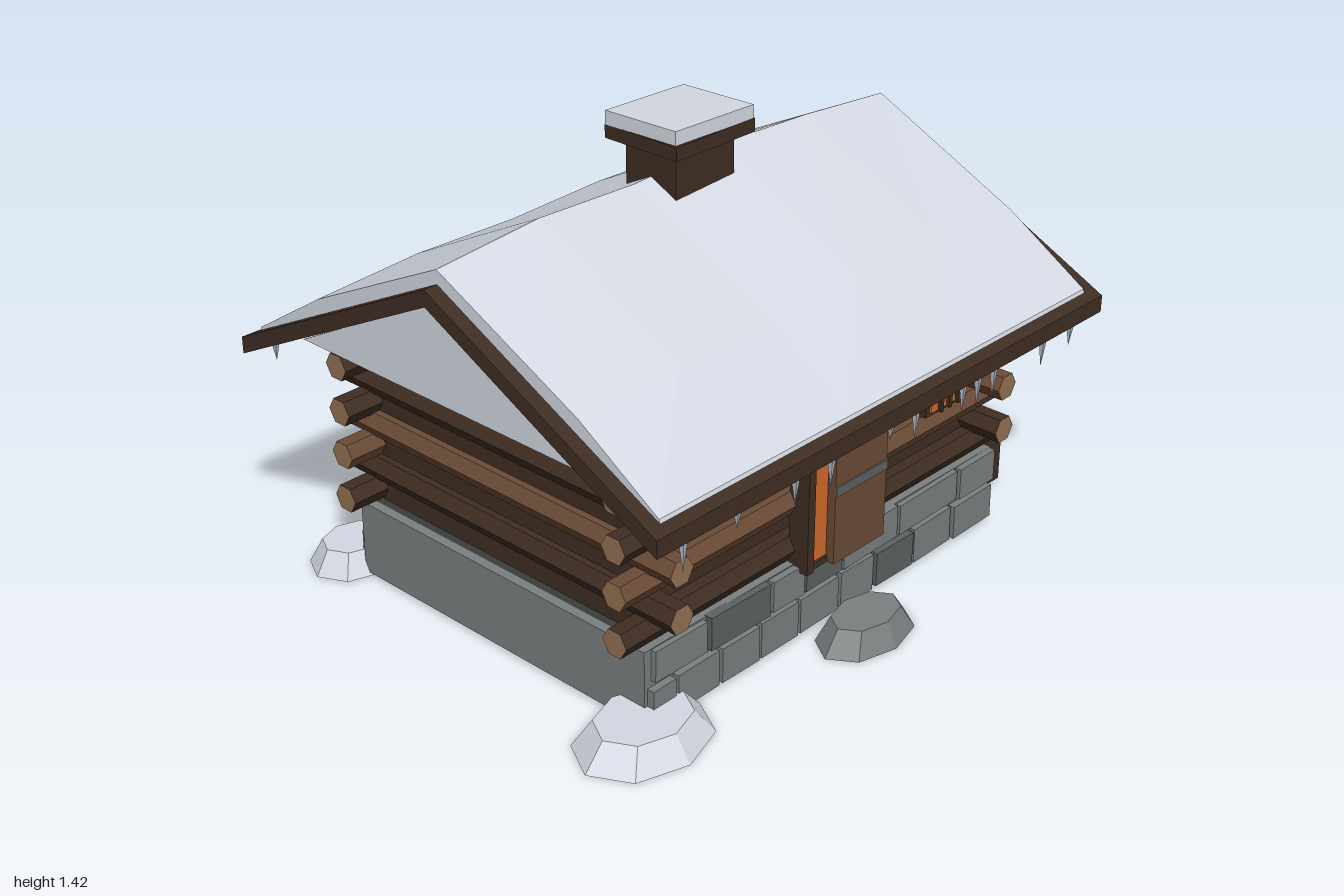
import * as THREE from 'three';

const mat = (name, color, side = THREE.FrontSide) =>
  Object.assign(new THREE.MeshStandardMaterial({ color, flatShading: true, side }), { name });

export function createModel() {
  const model = new THREE.Group();
  model.name = 'logCabin';
  const snow = mat('snow', 0xd3d8e2, THREE.DoubleSide);
  const bark = mat('darkWood', 0x3f2d22);
  const wood = mat('lightWood', 0x6b4b35);
  const logEnd = mat('logEnd', 0x936f52);
  const cutEnd = mat('firewoodEnd', 0xae8d64);
  const stone = mat('stone', 0x7b7f80);
  const darkStone = mat('darkStone', 0x5c6162);
  const floorDark = mat('floorCharcoal', 0x3a3e3b);
  const glow = mat('warmGlow', 0xd0692b);
  const ice = mat('ice', 0xaebac6);

  const add = (name, geo, material, parent = model) => {
    const mesh = new THREE.Mesh(geo, material);
    mesh.name = name;
    parent.add(mesh);
    return mesh;
  };
  // Box given by its minimum and maximum on each axis
  const box = (name, material, x0, x1, y0, y1, z0, z1, parent) => {
    const geo = new THREE.BoxGeometry(x1 - x0, y1 - y0, z1 - z0);
    geo.translate((x0 + x1) / 2, (y0 + y1) / 2, (z0 + z1) / 2);
    return add(name, geo, material, parent);
  };
  // Hexagonal log lying along x, or along z when turned
  const log = (name, r, length, mats, x, y, z, alongZ = false, parent = model) => {
    const geo = new THREE.CylinderGeometry(r, r, length, 6).rotateZ(Math.PI / 2);
    if (alongZ) geo.rotateY(Math.PI / 2);
    add(name, geo, mats, parent).position.set(x, y, z);
  };
  // Profile in (z, y), extruded from x0 to x1
  const profile = (pts, x0, x1, steps = 1) => {
    const shape = new THREE.Shape(pts.map(([z, y]) => new THREE.Vector2(-z, y)));
    const geo = new THREE.ExtrudeGeometry(shape, { depth: x1 - x0, steps, bevelEnabled: false });
    return geo.rotateY(Math.PI / 2).translate(x0, 0, -0.01);
  };
  let seed = 7;
  const rand = () => (seed = (seed * 16807) % 2147483647) / 2147483647;

  // Foundation: four thin walls, open below, under a dark floor
  for (const s of [-1, 1]) {
    box('foundationLongWall', stone, -0.755, 0.785, 0.01, 0.25, s * 0.565 - 0.015, s * 0.565 + 0.015);
    const x = s > 0 ? 0.755 : -0.755;
    box('foundationEndWall', stone, x, x + 0.03, 0.01, 0.25, -0.55, 0.55);
  }
  box('floor', floorDark, -0.725, 0.755, 0.225, 0.25, -0.55, 0.55);

  // Uneven facing stones in two courses
  const courses = [
    { y0: 0.015, y1: 0.135, cuts: [-0.75, -0.65, -0.475, -0.31, -0.14, 0.04, 0.2, 0.385, 0.575, 0.775] },
    { y0: 0.145, y1: 0.25, cuts: [-0.735, -0.52, -0.265, -0.12, 0.05, 0.31, 0.6, 0.785] },
  ];
  for (const s of [-1, 1]) for (const { y0, y1, cuts } of courses)
    for (let i = 0; i < cuts.length - 1; i++) {
      const w = cuts[i + 1] - cuts[i] - 0.012;
      const block = add('facingStone', new THREE.BoxGeometry(w, y1 - y0 - rand() * 0.01, 0.03),
        rand() < 0.25 ? darkStone : stone);
      block.position.set((cuts[i] + cuts[i + 1]) / 2, (y0 + y1) / 2, s * (0.582 + rand() * 0.008));
      block.rotation.z = (rand() - 0.5) * 0.04;
    }

  // Log walls with crossing corners around a dark core
  box('wallCore', bark, -0.7, 0.725, 0.25, 0.78, -0.54, 0.525);
  [0.295, 0.44, 0.58, 0.725].forEach((y, i) => {
    for (const z of [0.54, -0.56])
      log('longWallLog', 0.044, 1.675, [i === 1 ? wood : bark, logEnd, logEnd], 0.012, y, z);
  });
  [0.365, 0.51, 0.65].forEach((y, i) => {
    for (const x of [-0.7, 0.725])
      log('endWallLog', 0.044, 1.35, [i === 1 ? wood : bark, logEnd, logEnd], x, y, -0.01, true);
  });
  box('topPlate', bark, -0.72, 0.75, 0.77, 0.868, -0.55, 0.53);

  // Gables with battens
  const gable = [[-0.58, 0.77], [0.58, 0.77], [0, 1.17]];
  add('gableRight', profile(gable, 0.74, 0.765), bark);
  add('gableLeft', profile(gable, -0.735, -0.71), bark);
  for (const [z, top] of [[0.24, 0.96], [0.075, 1.07], [-0.085, 1.07], [-0.255, 0.96]])
    for (const x of [0.762, -0.742]) box('gableBatten', wood, x, x + 0.012, 0.79, top, z - 0.008, z + 0.008);
  add('gableSnow', profile([[-0.6, 0.82], [0.6, 0.82], [0, 1.13]], -0.892, -0.886), snow);

  // Roof deck
  add('roof', profile([[-0.82, 0.72], [0, 1.13], [0.82, 0.72], [0.82, 0.773], [0, 1.18], [-0.82, 0.773]],
    -0.945, 0.975), bark);

  // Roof snow, swelling along the ridge
  const snowGeo = profile([[-0.79, 0.785], [0, 1.17], [0.79, 0.785], [0.785, 0.8], [0.51, 0.975],
    [0, 1.222], [-0.51, 0.975], [-0.785, 0.8]], -0.9, 0.925, 5);
  const swell = [0, 0.03, 0.02, 0.04, 0.027, 0];
  const p = snowGeo.attributes.position;
  for (let i = 0; i < p.count; i++) {
    const z = Math.abs(p.getZ(i) + 0.01), y = p.getY(i);
    const lift = swell[Math.round((p.getX(i) + 0.9) / 0.365)];
    if (y > 1.2 || (z > 0.4 && z < 0.6)) p.setY(i, y + lift * (z > 0.4 ? 0.7 : 1));
  }
  snowGeo.computeVertexNormals();
  add('roofSnow', snowGeo, snow);

  // Icicles under both eaves
  for (const s of [-1, 1])
    for (const x of [-0.84, -0.64, -0.415, -0.27, -0.02, 0.09, 0.305, 0.375, 0.45, 0.69, 0.83]) {
      const h = 0.05 + rand() * 0.05;
      add('icicle', new THREE.ConeGeometry(0.013, h, 5).rotateX(Math.PI), ice)
        .position.set(x, 0.727 - h / 2, s * 0.808 - 0.01);
    }

  // Chimney
  box('chimneyStack', bark, -0.105, 0.135, 1.0, 1.34, -0.107, 0.085);
  box('chimneyCap', bark, -0.145, 0.178, 1.335, 1.376, -0.15, 0.125);
  const capSnow = add('chimneySnow', new THREE.BoxGeometry(0.32, 0.042, 0.27), snow);
  capSnow.position.set(0.014, 1.396, -0.012);
  capSnow.rotation.set(-0.02, 0, -0.02);

  // Doorway with the door ajar
  const door = new THREE.Group();
  door.name = 'doorway';
  model.add(door);
  box('doorPost', bark, -0.15, -0.122, 0.23, 0.68, 0.56, 0.63, door);
  box('doorPost', bark, 0.17, 0.19, 0.25, 0.68, 0.56, 0.61, door);
  box('doorLintel', bark, -0.175, 0.215, 0.655, 0.73, 0.56, 0.62, door);
  box('threshold', bark, -0.14, 0.18, 0.225, 0.245, 0.52, 0.615, door);
  box('doorGlow', glow, -0.125, -0.03, 0.235, 0.655, 0.6, 0.607, door);
  box('doorPanel', wood, -0.045, 0.183, 0.225, 0.65, 0.61, 0.638, door);
  box('doorStrap', darkStone, -0.045, 0.183, 0.445, 0.475, 0.637, 0.643, door);

  // Barred windows, front and back
  for (const [x, turn] of [[0.508, 0], [-0.3, Math.PI]]) {
    const win = new THREE.Group();
    win.name = 'window';
    win.position.set(x, 0.568, turn ? -0.01 : 0);
    win.rotation.y = turn;
    model.add(win);
    box('windowFrame', bark, -0.098, 0.098, -0.067, 0.067, 0.55, 0.6, win);
    box('windowGlow', glow, -0.079, 0.079, -0.055, 0.055, 0.599, 0.607, win);
    for (const bx of [-0.041, 0, 0.041]) box('windowBar', bark, bx - 0.007, bx + 0.007, -0.06, 0.06, 0.6, 0.618, win);
  }

  // Firewood rack beside the right wall
  const rack = new THREE.Group();
  rack.name = 'firewoodRack';
  model.add(rack);
  for (const z of [0.462, -0.323]) box('rackBoard', bark, 0.8, 0.995, 0.012, 0.235, z - 0.014, z + 0.014, rack);
  for (let row = 0; row < 3; row++)
    for (let i = 0; i < 10 - row; i++)
      log('firewood', 0.033, 0.18, [wood, cutEnd, cutEnd], 0.88, 0.05 + row * 0.057,
        0.395 - row * 0.0325 - i * 0.0655, false, rack);
  const rackSnow = add('rackSnow', new THREE.BoxGeometry(0.21, 0.035, 0.675), snow, rack);
  rackSnow.position.set(0.893, 0.215, 0.063);
  rackSnow.rotation.x = -0.015;

  // Step stone and snow drifts
  const mound = (name, material, x, z, rx, rz, h) => {
    const geo = new THREE.CylinderGeometry(0.7, 1, 1, 8).scale(rx, h, rz);
    add(name, geo, material).position.set(x, h / 2, z);
  };
  mound('stepStone', stone, 0.015, 0.715, 0.18, 0.115, 0.075);
  mound('snowDrift', snow, -0.78, 0.6, 0.22, 0.17, 0.075);
  mound('snowDrift', snow, 0.78, -0.66, 0.22, 0.125, 0.08);
  mound('snowDrift', snow, -0.72, -0.67, 0.15, 0.125, 0.075);
  return model;
}
